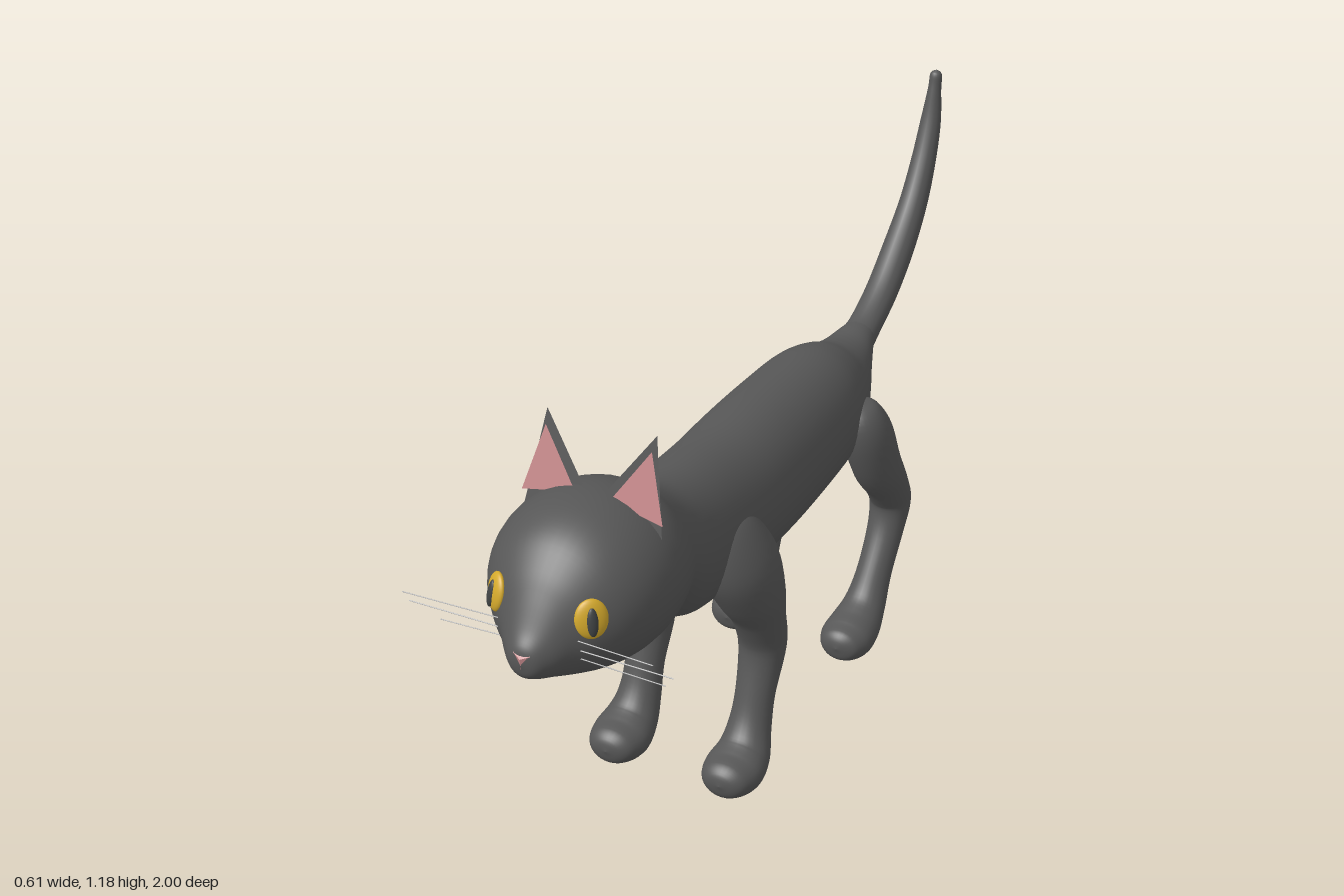
import * as THREE from 'three';

const mat = (name, color, side = THREE.FrontSide) => {
  const m = new THREE.MeshStandardMaterial({ color, side });
  m.name = name;
  return m;
};

// Smooth loft through stations [x, y, z, halfWidth, halfDepth].
// Rings follow the path, or stay vertical (facing z) when upright is true.
function loft(stations, steps = 60, sides = 28, upright = false) {
  const path = new THREE.CatmullRomCurve3(
    stations.map((s) => new THREE.Vector3(s[0], s[1], s[2])), false, 'catmullrom');
  const size = new THREE.CatmullRomCurve3(
    stations.map((s) => new THREE.Vector3(s[3], s[4], 0)), false, 'catmullrom');
  const pos = [], idx = [];
  const X = new THREE.Vector3(1, 0, 0);
  for (let i = 0; i <= steps; i++) {
    const t = i / steps;
    const c = path.getPoint(t), r = size.getPoint(t);
    const T = upright ? new THREE.Vector3(0, 0, -1) : path.getTangent(t).setX(0).normalize();
    const V = T.clone().cross(X);
    for (let j = 0; j < sides; j++) {
      const a = (j / sides) * Math.PI * 2;
      const u = Math.cos(a) * Math.max(r.x, 0.0002), v = Math.sin(a) * Math.max(r.y, 0.0002);
      pos.push(c.x + u, c.y + V.y * v, c.z + V.z * v);
      if (i < steps) {
        const k = (j + 1) % sides, p = i * sides, q = p + sides;
        idx.push(p + j, p + k, q + j, p + k, q + k, q + j);
      }
    }
  }
  const g = new THREE.BufferGeometry();
  g.setAttribute('position', new THREE.Float32BufferAttribute(pos, 3));
  g.setIndex(idx);
  g.computeVertexNormals();
  return g;
}

// Flat-sided faces from corner points; flip reverses the winding.
function facets(tris, flip) {
  const pos = tris.flatMap(([a, b, c]) => (flip ? [a, c, b] : [a, b, c]).flat());
  const g = new THREE.BufferGeometry();
  g.setAttribute('position', new THREE.Float32BufferAttribute(pos, 3));
  g.computeVertexNormals();
  return g;
}

export function createModel() {
  const fur = mat('greyFur', 0x575757);
  const pink = mat('pinkSkin', 0xc88a8c, THREE.DoubleSide);
  const yellow = mat('yellowIris', 0xd4a92c);
  const dark = mat('darkPupil', 0x404344);
  const pale = mat('paleWhisker', 0xc8c8c8);

  const root = new THREE.Group();
  root.name = 'cat';
  const add = (name, geo, material, parent = root) => {
    const m = new THREE.Mesh(geo, material);
    m.name = name;
    parent.add(m);
    return m;
  };

  // Head, neck and torso: [z, top, bottom, half width]
  const torso = [
    [1.0, 0.70, 0.695, 0.0], [0.993, 0.73, 0.665, 0.03], [0.97, 0.76, 0.648, 0.055],
    [0.935, 0.815, 0.632, 0.086], [0.9, 0.862, 0.617, 0.124], [0.85, 0.908, 0.597, 0.164],
    [0.79, 0.934, 0.58, 0.19], [0.72, 0.942, 0.573, 0.2], [0.65, 0.934, 0.575, 0.193],
    [0.59, 0.912, 0.572, 0.174], [0.53, 0.872, 0.55, 0.148], [0.46, 0.832, 0.495, 0.134],
    [0.39, 0.812, 0.455, 0.132], [0.28, 0.797, 0.44, 0.137], [0.15, 0.783, 0.432, 0.143],
    [0, 0.78, 0.427, 0.146], [-0.15, 0.772, 0.432, 0.144], [-0.3, 0.762, 0.441, 0.135],
    [-0.38, 0.742, 0.462, 0.118], [-0.44, 0.715, 0.51, 0.096], [-0.5, 0.702, 0.572, 0.07],
    [-0.56, 0.704, 0.622, 0.046], [-0.62, 0.70, 0.66, 0.025], [-0.64, 0.69, 0.68, 0],
  ];
  add('headAndBody', loft(torso.map(([z, t, b, w]) => [0, (t + b) / 2, z, w, (t - b) / 2]),
    110, 44, true), fur);

  // Tail
  add('tail', loft([
    [0, 0.645, -0.46, 0.05, 0.05], [0, 0.657, -0.54, 0.046, 0.043], [0, 0.678, -0.61, 0.04, 0.036],
    [0, 0.725, -0.7, 0.039, 0.036], [0, 0.797, -0.79, 0.038, 0.037], [0, 0.88, -0.87, 0.034, 0.034],
    [0, 0.97, -0.925, 0.03, 0.028], [0, 1.06, -0.962, 0.025, 0.022], [0, 1.14, -0.98, 0.016, 0.015],
    [0, 1.175, -0.986, 0.014, 0.012], [0, 1.186, -0.987, 0, 0],
  ], 60, 20), fur);

  for (const s of [1, -1]) {
    const side = s > 0 ? 'left' : 'right';
    const flip = s < 0;
    const mx = ([x, ...rest]) => [s * x, ...rest];

    // Legs, each ending in a rounded paw
    add(side + 'FrontLeg', loft([
      [0.075, 0.7, 0.3, 0, 0], [0.085, 0.66, 0.295, 0.055, 0.07], [0.112, 0.57, 0.275, 0.08, 0.098],
      [0.128, 0.48, 0.25, 0.077, 0.086], [0.139, 0.4, 0.228, 0.062, 0.06],
      [0.14, 0.31, 0.208, 0.055, 0.052], [0.14, 0.2, 0.243, 0.046, 0.041],
      [0.14, 0.125, 0.27, 0.05, 0.045], [0.143, 0.075, 0.305, 0.062, 0.053],
      [0.143, 0.057, 0.355, 0.07, 0.051], [0.143, 0.057, 0.4, 0.058, 0.044],
      [0.143, 0.058, 0.422, 0.036, 0.028], [0.143, 0.058, 0.43, 0, 0],
    ].map(mx)), fur);
    add(side + 'BackLeg', loft([
      [0.115, 0.64, -0.335, 0, 0], [0.12, 0.62, -0.338, 0.038, 0.045], [0.13, 0.56, -0.348, 0.057, 0.066],
      [0.142, 0.46, -0.378, 0.056, 0.064], [0.15, 0.385, -0.42, 0.052, 0.052],
      [0.151, 0.325, -0.444, 0.05, 0.047], [0.15, 0.255, -0.423, 0.044, 0.04],
      [0.148, 0.165, -0.37, 0.042, 0.041], [0.146, 0.1, -0.325, 0.05, 0.046],
      [0.145, 0.067, -0.275, 0.061, 0.052], [0.145, 0.057, -0.225, 0.064, 0.05],
      [0.145, 0.059, -0.188, 0.05, 0.04], [0.145, 0.06, -0.173, 0.03, 0.026], [0.145, 0.06, -0.166, 0, 0],
    ].map(mx)), fur);

    // Ear: three-sided pyramid with a pink inner plate
    const [outer, inner, back, tip] = [
      [0.16, 0.865, 0.7], [0.018, 0.925, 0.69], [0.1, 0.88, 0.61], [0.126, 1.075, 0.65]].map(mx);
    add(side + 'Ear', facets([[outer, tip, inner], [outer, back, tip], [inner, tip, back],
      [outer, inner, back]], flip), fur);
    add(side + 'InnerEar', facets([[[0.163, 0.9, 0.702], [0.122, 1.045, 0.666],
      [0.04, 0.925, 0.698]].map(mx)], flip), pink);

    // Eye with upright slit pupil
    const eye = new THREE.Group();
    eye.name = side + 'Eye';
    eye.position.set(s * 0.109, 0.783, 0.902);
    eye.rotation.set(-0.2, s * 0.72, 0, 'YXZ');
    add('iris', new THREE.SphereGeometry(1, 28, 18).scale(0.035, 0.043, 0.014), yellow, eye);
    add('pupil', new THREE.SphereGeometry(1, 20, 14).scale(0.012, 0.031, 0.008), dark, eye)
      .position.set(0, -0.004, 0.011);
    root.add(eye);

    // Whiskers
    [[[0.08, 0.738, 0.925], [0.287, 0.772, 0.975]], [[0.08, 0.716, 0.925], [0.305, 0.715, 0.925]],
      [[0.08, 0.697, 0.925], [0.262, 0.655, 0.88]]].forEach(([a, b], i) => {
      const line = new THREE.LineCurve3(new THREE.Vector3(...mx(a)), new THREE.Vector3(...mx(b)));
      add(side + 'Whisker' + (i + 1), new THREE.TubeGeometry(line, 1, 0.0013, 6), pale);
    });
  }

  // Nose: small wedge pointing down
  const l = [-0.02, 0.72, 0.994], r = [0.02, 0.72, 0.994], low = [0, 0.687, 0.999];
  const mid = [0, 0.712, 1.002], topBack = [0, 0.735, 0.982];
  add('nose', facets([[l, low, mid], [low, r, mid], [r, topBack, mid], [topBack, l, mid]]), pink);

  return root;
}
